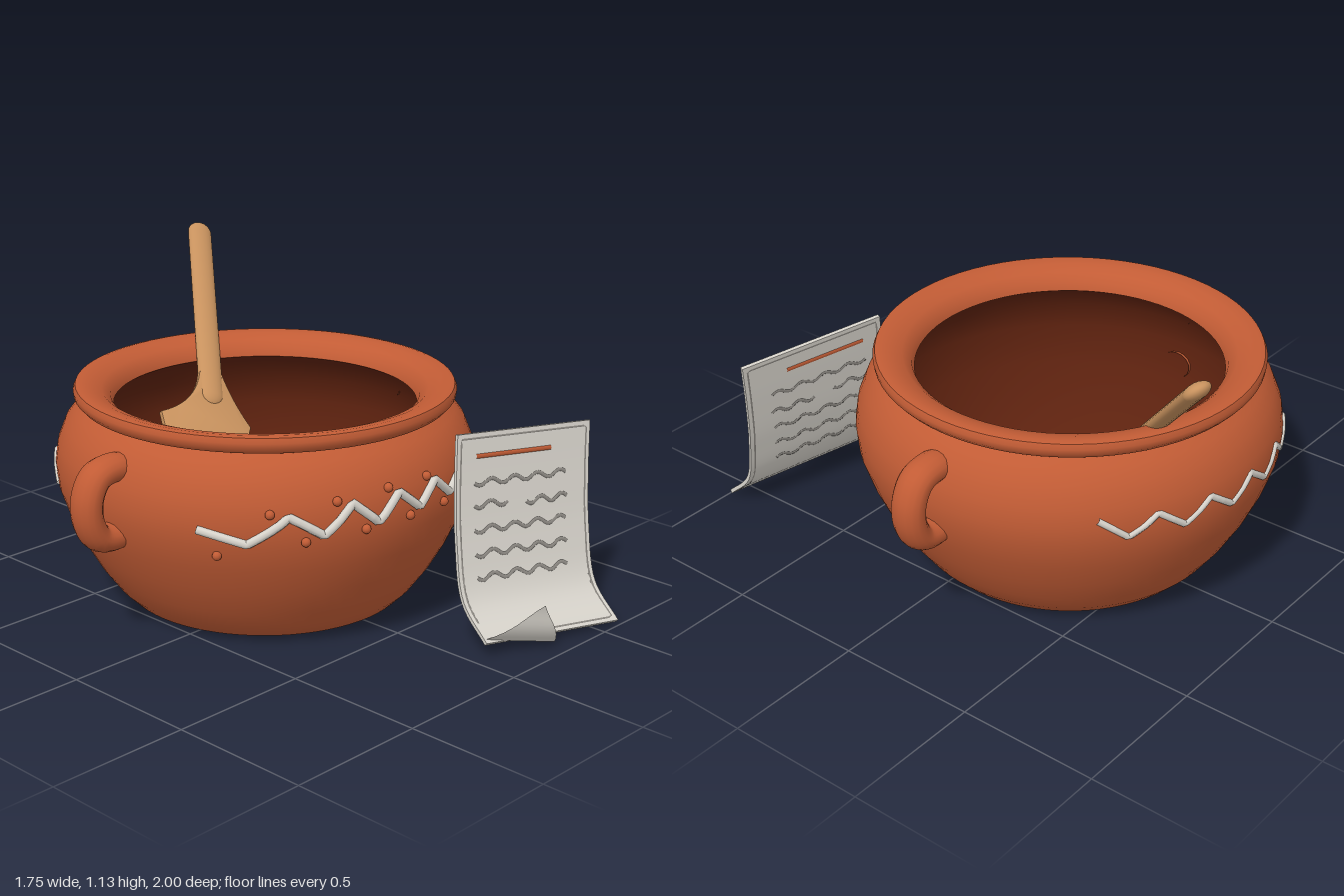
import * as THREE from 'three';
import { toCreasedNormals } from 'three/addons/utils/BufferGeometryUtils.js';

const mat = (name, color, side = THREE.FrontSide) => {
  const m = new THREE.MeshStandardMaterial({ color, side });
  m.name = name;
  return m;
};
const V = (x, y, z) => new THREE.Vector3(x, y, z);
const POT_Z = -0.135;

// outer wall of the pot as [radius, height]
const WALL = [[0.45, 0], [0.5, 0.015], [0.545, 0.06], [0.6, 0.135], [0.655, 0.23], [0.7, 0.33], [0.73, 0.42],
  [0.738, 0.5], [0.728, 0.57], [0.7, 0.64], [0.665, 0.685], [0.635, 0.712]];

function wallRadius(y) {
  for (let i = 1; i < WALL.length; i++) {
    const [r0, y0] = WALL[i - 1], [r1, y1] = WALL[i];
    if (y <= y1) return r0 + (r1 - r0) * (y - y0) / (y1 - y0);
  }
  return 0.635;
}

// point on the wall for a given x and height; side is 1 for front, -1 for back
function onWall(x, y, side, lift = 0) {
  const r = wallRadius(y) + lift;
  return V(x, y, POT_Z + side * Math.sqrt(Math.max(0, r * r - x * x)));
}

// sheet middle surface: u across, v from top to bottom
const sheetDrop = new THREE.CatmullRomCurve3([V(0, 0, 0), V(-0.03, -0.175, 0.025), V(-0.06, -0.36, 0.06),
  V(-0.09, -0.54, 0.12), V(-0.105, -0.65, 0.235)]);
const sheetPoint = (u, v) => sheetDrop.getPoint(v).add(V(0.157 + 0.533 * u, 0.698 - 0.036 * u, 0.605 + 0.15 * u));
const across = V(0.533, -0.036, 0.15);

export function createModel() {
  const model = new THREE.Group();
  model.name = 'cookingPot';
  const clay = mat('terracotta', 0xc25c35);
  const dark = mat('darkInterior', 0x5e220f, THREE.DoubleSide);
  const wood = mat('wood', 0xc8925e);
  const paper = mat('paper', 0xd9d5cd, THREE.DoubleSide);
  const ink = mat('greyInk', 0x8f8b85);

  const add = (name, geo, material, parent = model) => {
    const mesh = new THREE.Mesh(geo, material);
    mesh.name = name;
    parent.add(mesh);
    return mesh;
  };
  const lathe = (name, pts, material) => {
    const geo = new THREE.LatheGeometry(pts.map(p => new THREE.Vector2(...p)), 72);
    add(name, toCreasedNormals(geo, 0.7), material).position.z = POT_Z;
  };
  const polyline = pts => {
    const path = new THREE.CurvePath();
    for (let i = 1; i < pts.length; i++) path.add(new THREE.LineCurve3(pts[i - 1], pts[i]));
    return path;
  };

  // pot body, rolled lip and interior
  lathe('potBody', [[0, 0], ...WALL], clay);
  lathe('potLip', [[0.635, 0.712], [0.652, 0.718], [0.667, 0.735], [0.67, 0.755], [0.662, 0.772], [0.645, 0.776],
    [0.61, 0.77], [0.57, 0.755], [0.54, 0.73], [0.53, 0.7]], clay);
  lathe('potInterior', [[0.53, 0.7], [0.6, 0.66], [0.66, 0.58], [0.68, 0.48], [0.65, 0.34], [0.57, 0.18],
    [0.48, 0.08], [0.4, 0.05], [0, 0.045]], dark);

  // side handles
  for (const s of [1, -1]) {
    const path = new THREE.CatmullRomCurve3([V(0.64, 0.61, 0), V(0.72, 0.622, 0), V(0.785, 0.605, 0), V(0.822, 0.54, 0),
      V(0.82, 0.46, 0), V(0.785, 0.4, 0), V(0.73, 0.386, 0), V(0.65, 0.4, 0)].map(p => p.setX(p.x * s)));
    const handle = add(s > 0 ? 'leftHandle' : 'rightHandle', new THREE.TubeGeometry(path, 40, 0.048, 16), clay);
    handle.scale.z = 1.28;
    handle.position.z = POT_Z + 0.005;
  }

  // zigzag bands around the front and the back
  const zigzag = (name, corners, side, radius, lift) => {
    const pts = [];
    corners.forEach(([x, y], i) => {
      if (!i) return pts.push(onWall(x, y, side, lift));
      const [px, py] = corners[i - 1];
      for (let k = 1; k <= 4; k++) pts.push(onWall(px + (x - px) * k / 4, py + (y - py) * k / 4, side, lift));
    });
    add(name, new THREE.TubeGeometry(polyline(pts), pts.length * 4, radius, 8), paper);
  };
  zigzag('frontZigzag', [[-0.655, 0.48], [-0.56, 0.437], [-0.465, 0.53], [-0.37, 0.46], [-0.28, 0.557], [-0.195, 0.48],
    [-0.11, 0.565], [-0.025, 0.495], [0.06, 0.567], [0.14, 0.5], [0.2, 0.54]], 1, 0.015, 0.004);
  const back = [];
  for (let i = 0; i <= 13; i++) {
    const a = -0.98 + 1.77 * i / 13;
    back.push([0.73 * Math.sin(a), (i % 2 ? 0.53 : 0.46) - (i === 0 ? 0.02 : 0)]);
  }
  zigzag('backZigzag', back, -1, 0.012, -0.003);

  // clay beads above and below the front zigzag
  const beads = [[-0.61, 0.39], [-0.51, 0.54], [-0.42, 0.442], [-0.328, 0.57], [-0.237, 0.463], [-0.147, 0.585],
    [-0.065, 0.475], [0.025, 0.585], [0.11, 0.475]];
  for (const [x, y] of beads) {
    add('bead', new THREE.SphereGeometry(0.016, 12, 8), clay).position.copy(onWall(x, y, 1, 0.004));
  }

  // wooden spatula: local x is its width, local y runs down to the blade
  const spatula = new THREE.Group();
  spatula.name = 'spatula';
  const down = V(-0.484, -0.65, 0.587).normalize();
  const wide = V(0.865, -0.26, 0.43);
  wide.addScaledVector(down, -wide.dot(down)).normalize();
  spatula.setRotationFromMatrix(new THREE.Matrix4().makeBasis(wide, down, wide.clone().cross(down)));
  spatula.position.set(0.466, 1.088, -0.962);
  model.add(spatula);
  const grip = add('spatulaHandle', new THREE.CapsuleGeometry(0.047, 0.75, 8, 20), wood, spatula);
  grip.position.y = 0.375;
  grip.scale.z = 0.55;
  const s = new THREE.Shape();
  s.moveTo(-0.04, 0.66);
  s.quadraticCurveTo(-0.06, 0.8, -0.2, 0.86);
  s.quadraticCurveTo(-0.16, 1.1, -0.055, 1.34);
  s.quadraticCurveTo(0.08, 1.1, 0.14, 0.87);
  s.quadraticCurveTo(0.08, 0.78, 0.04, 0.66);
  const blade = new THREE.ExtrudeGeometry(s, { depth: 0.014, bevelSize: 0.006, bevelThickness: 0.006, bevelSegments: 2, curveSegments: 10 });
  blade.translate(0, 0, -0.007);
  add('spatulaBlade', toCreasedNormals(blade, 0.6), wood, spatula);

  // curved paper sheet with thickness
  const sheet = new THREE.Group();
  sheet.name = 'recipeSheet';
  model.add(sheet);
  const geo = new THREE.BoxGeometry(1, 1, 0.014, 8, 28, 1);
  const pos = geo.attributes.position;
  for (let i = 0; i < pos.count; i++) {
    const u = pos.getX(i) + 0.5, v = 0.5 - pos.getY(i);
    const n = across.clone().cross(sheetDrop.getTangent(v).negate()).normalize();
    const p = sheetPoint(u, v).addScaledVector(n, pos.getZ(i));
    pos.setXYZ(i, p.x, p.y, p.z);
  }
  add('paper', toCreasedNormals(geo, 0.6), paper, sheet);

  // folded corner of the sheet
  const flap = new THREE.PlaneGeometry(1, 1, 8, 8);
  const fp = flap.attributes.position;
  const foldA = V(0.055, 0.06, 0.83), foldB = V(0.29, 0.015, 0.945), tip = V(0.21, 0.175, 0.96);
  for (let i = 0; i < fp.count; i++) {
    const h = fp.getY(i) + 0.5;
    const p = foldA.clone().lerp(foldB, fp.getX(i) + 0.5).lerp(tip, h);
    fp.setXYZ(i, p.x, p.y, p.z + 0.03 * Math.sin(Math.PI * h) * (1 - h));
  }
  flap.computeVertexNormals();
  add('foldedCorner', flap, paper, sheet);

  // thin border line and wavy writing, showing on both faces
  const border = [];
  for (let i = 0; i <= 20; i++) border.push(sheetPoint(0.03, 0.88 - 0.855 * i / 20));
  for (let i = 0; i <= 20; i++) border.push(sheetPoint(0.97, 0.025 + 0.95 * i / 20));
  border.push(sheetPoint(0.5, 0.975));
  add('border', new THREE.TubeGeometry(polyline(border), 160, 0.0085, 6), ink, sheet);
  const rows = [[0.13, 0.82, 0.235, 4], [0.13, 0.38, 0.335, 1.5], [0.52, 0.83, 0.345, 2], [0.13, 0.82, 0.445, 4],
    [0.13, 0.82, 0.55, 4], [0.13, 0.81, 0.65, 4]];
  for (const [u0, u1, v, waves] of rows) {
    const pts = [];
    for (let i = 0; i <= 40; i++) {
      const k = i / 40;
      pts.push(sheetPoint(u0 + (u1 - u0) * k, v + 0.014 * Math.sin(k * waves * Math.PI * 2)));
    }
    add('wavyLine', new THREE.TubeGeometry(new THREE.CatmullRomCurve3(pts), 60, 0.0105, 6), ink, sheet);
  }
  add('headingStripe', new THREE.TubeGeometry(new THREE.LineCurve3(sheetPoint(0.14, 0.11), sheetPoint(0.7, 0.11)), 4, 0.011, 8), clay, sheet);

  return model;
}
